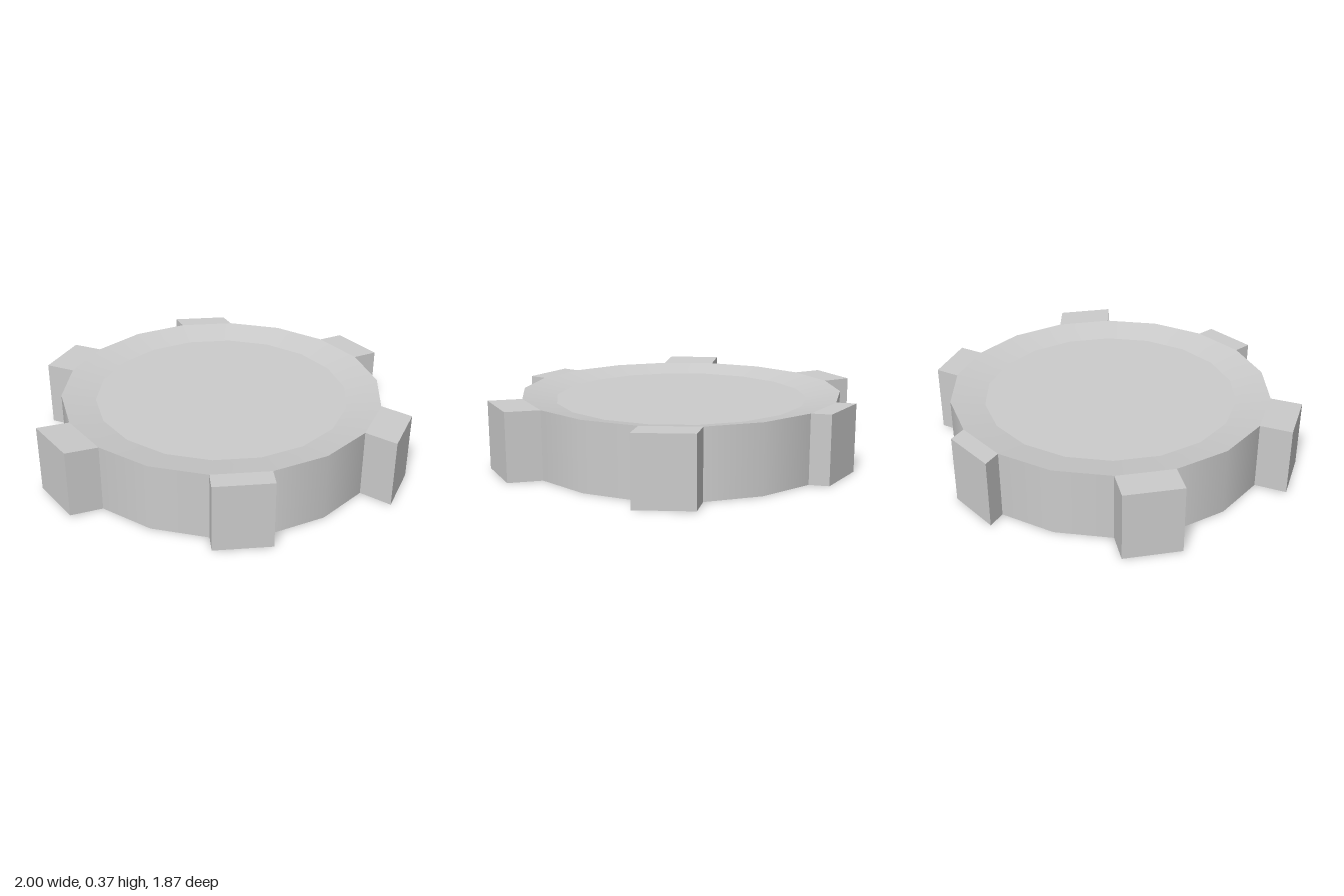
import * as THREE from 'three';

const SIDES = 18, STEP = (Math.PI * 2) / SIDES;
const R = 0.848, INNER = 0.67, H = 0.355, DIP = 0.035, CX = 0.0175;

const material = new THREE.MeshStandardMaterial({ color: 0xcccccc, side: THREE.DoubleSide });

function add(group, name, geometry, y = 0) {
  const mesh = new THREE.Mesh(geometry, material);
  mesh.name = name;
  mesh.position.y = y;
  group.add(mesh);
  return mesh;
}

// Hollow block pushed out of one side of the ring by an offset
function toothGeometry(k, [dx, dy, dz]) {
  const corner = (i, y, out) => [
    R * Math.cos(i * STEP) + out * dx, y + out * dy, R * Math.sin(i * STEP) + out * dz];
  const [a0, a1, A0, A1] = [corner(k, 0, 0), corner(k, H, 0), corner(k, 0, 1), corner(k, H, 1)];
  const [b0, b1, B0, B1] = [corner(k + 1, 0, 0), corner(k + 1, H, 0), corner(k + 1, 0, 1), corner(k + 1, H, 1)];
  const quads = [
    [B0, A0, A1, B1], // outer face
    [b1, B1, A1, a1], // top
    [a0, A0, B0, b0], // underside
    [A0, a0, a1, A1], // one flank
    [b0, B0, B1, b1], // other flank
  ];
  const points = quads.flatMap(([p, q, r, s]) => [p, q, r, p, r, s]).flat();
  const geometry = new THREE.BufferGeometry();
  geometry.setAttribute('position', new THREE.Float32BufferAttribute(points, 3));
  geometry.computeVertexNormals();
  return geometry;
}

export function createModel() {
  const group = new THREE.Group();
  group.name = 'toothedCap';
  const body = new THREE.Group();
  body.name = 'capBody';
  body.position.x = CX;
  group.add(body);

  const start = Math.PI / 2; // puts a corner on the x axis

  // Sunken centre and the rim sloping down to it
  add(body, 'centreDisc', new THREE.CircleGeometry(INNER, SIDES).rotateX(-Math.PI / 2), H - DIP);
  add(body, 'slopingRim',
    new THREE.LatheGeometry([new THREE.Vector2(R, H), new THREE.Vector2(INNER, H - DIP)], SIDES, start));

  // Flat ring around the open underside
  add(body, 'bottomRing', new THREE.RingGeometry(INNER, R, SIDES, 1).rotateX(Math.PI / 2));

  // Six teeth, each with its own offset, and the wall that follows it
  const offsets = [
    [0.08, 0, 0.155], [-0.035, 0, 0.095], [-0.17, 0.012, 0],
    [-0.105, 0, -0.12], [0, 0, -0.1], [0.134, 0, 0],
  ];
  offsets.forEach((offset, i) => {
    const k = 2 + i * 3;
    add(body, 'tooth' + (i + 1), toothGeometry(k, offset));
    add(body, 'wall' + (i + 1),
      new THREE.CylinderGeometry(R, R, H, 2, 1, true, start - (k + 3) * STEP, 2 * STEP), H / 2);
  });
  return group;
}
